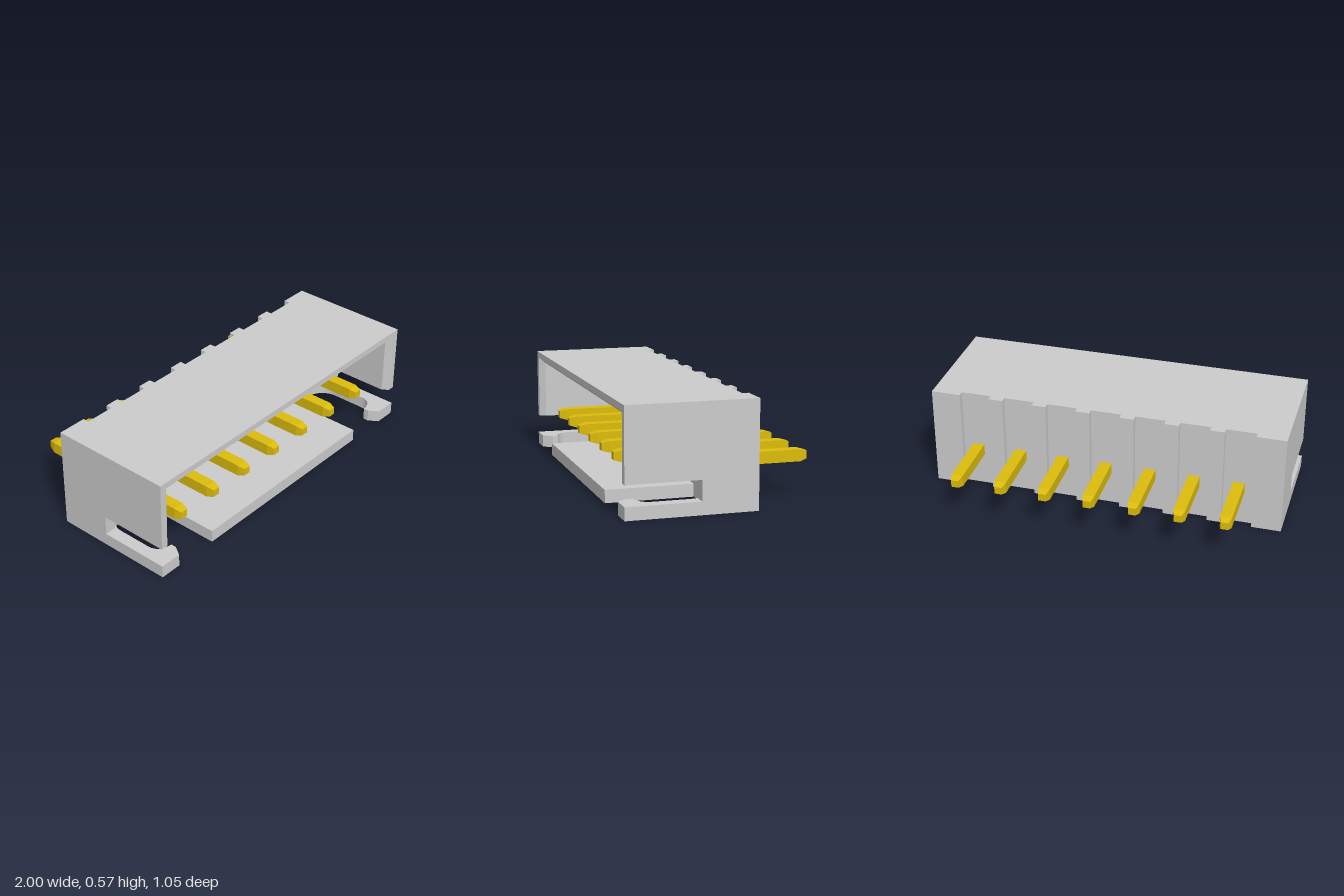
import * as THREE from 'three';

const grey = new THREE.MeshStandardMaterial({ color: 0xcccccc, flatShading: true });
const gold = new THREE.MeshStandardMaterial({ color: 0xdcbc0c, flatShading: true });

const W = 1, H = 0.575;                 // half width and height of the housing
const FRONT = 0.525, WALL = 0.045;      // open front edge, inner face of the back wall
const BACK = -0.175, GROOVE = -0.14;    // rib faces, groove bottoms
const FLOOR = 0.07, SLOT = 0.18;        // floor top, side slot top
const INNER = 0.935;                    // inner face of the side walls

// Solid through equal-length outlines (counter-clockwise) stacked along z
function loft(sections) {
  const pos = [];
  const put = (s, i) => pos.push(s.pts[i][0], s.pts[i][1], s.z);
  for (let k = 0; k + 1 < sections.length; k++) {
    const a = sections[k], b = sections[k + 1], n = a.pts.length;
    for (let i = 0; i < n; i++) {
      const j = (i + 1) % n;
      put(a, i); put(a, j); put(b, j);
      put(a, i); put(b, j); put(b, i);
    }
  }
  const cap = (s, flip) => {
    const contour = s.pts.map(p => new THREE.Vector2(...p));
    for (const f of THREE.ShapeUtils.triangulateShape(contour, [])) {
      for (const i of flip ? [f[0], f[2], f[1]] : f) put(s, i);
    }
  };
  cap(sections[0], true);
  cap(sections[sections.length - 1], false);
  const g = new THREE.BufferGeometry();
  g.setAttribute('position', new THREE.Float32BufferAttribute(pos, 3));
  g.computeVertexNormals();
  return g;
}

// Plate from the +x half of a plan outline of (x, z) points, mirrored and raised from y = 0
function plate(half, height) {
  const all = [...half, ...half.slice().reverse().map(([x, z]) => [-x, z])];
  const shape = new THREE.Shape(all.map(([x, z]) => new THREE.Vector2(x, -z)));
  return new THREE.ExtrudeGeometry(shape, { depth: height, bevelEnabled: false }).rotateX(-Math.PI / 2);
}

// Three-sided hood outline, open at the bottom
const hood = (ix, top) => [
  [W, SLOT], [W, H], [-W, H], [-W, SLOT],
  [-ix, SLOT], [-ix, top], [ix, top], [ix, SLOT],
];

const square = (x, y, h) => [[x - h, y - h], [x + h, y - h], [x + h, y + h], [x - h, y + h]];

export function createModel() {
  const model = new THREE.Group();
  const add = (name, geometry, material = grey) => {
    const mesh = new THREE.Mesh(geometry, material);
    mesh.name = name;
    model.add(mesh);
    return mesh;
  };

  // Back wall with vertical ribs between the pins
  const wall = [[W, WALL], [W, BACK], [0.835, BACK], [0.835, GROOVE]];
  for (const x of [0.625, 0.375, 0.125]) {
    wall.push([x + 0.04, GROOVE], [x + 0.04, BACK], [x - 0.04, BACK], [x - 0.04, GROOVE]);
  }
  add('backWall', plate(wall, H));

  // Roof and side walls with a chamfered front opening
  add('hood', loft([
    { z: WALL, pts: hood(INNER, 0.51) },
    { z: 0.49, pts: hood(INNER, 0.51) },
    { z: FRONT, pts: hood(0.96, 0.54) },
  ]));

  // Side wall pieces behind the side slots
  for (const s of [1, -1]) {
    const cheek = add(s > 0 ? 'leftCheek' : 'rightCheek',
      new THREE.BoxGeometry(W - INNER, SLOT - FLOOR, 0.125 - WALL));
    cheek.position.set(s * (W + INNER) / 2, (SLOT + FLOOR) / 2, (0.125 + WALL) / 2);
  }

  // Floor: centre tongue and two hooked arms
  const edge = new THREE.Path();
  edge.moveTo(0.62, FRONT);
  edge.lineTo(0.62, WALL);
  edge.lineTo(0.81, WALL);
  edge.absarc(0.81, WALL + 0.12, 0.12, -Math.PI / 2, 0, false);
  edge.lineTo(0.93, 0.36);
  edge.quadraticCurveTo(0.93, 0.43, 0.84, 0.44);
  edge.lineTo(0.84, 0.47);
  edge.lineTo(0.875, FRONT);
  edge.lineTo(W, FRONT);
  edge.lineTo(W, WALL);
  add('floor', plate(edge.getPoints(8).map(p => [p.x, p.y]), FLOOR));

  // Row of seven square pins with tapered tips
  const pins = new THREE.Group();
  pins.name = 'pins';
  for (let i = -3; i <= 3; i++) {
    const pts = h => square(i * 0.25, 0.221, h);
    const pin = new THREE.Mesh(loft([
      { z: -0.525, pts: pts(0.021) },
      { z: -0.485, pts: pts(0.032) },
      { z: 0.41, pts: pts(0.032) },
      { z: 0.45, pts: pts(0.021) },
    ]), gold);
    pin.name = 'pin';
    pins.add(pin);
  }
  model.add(pins);
  return model;
}
